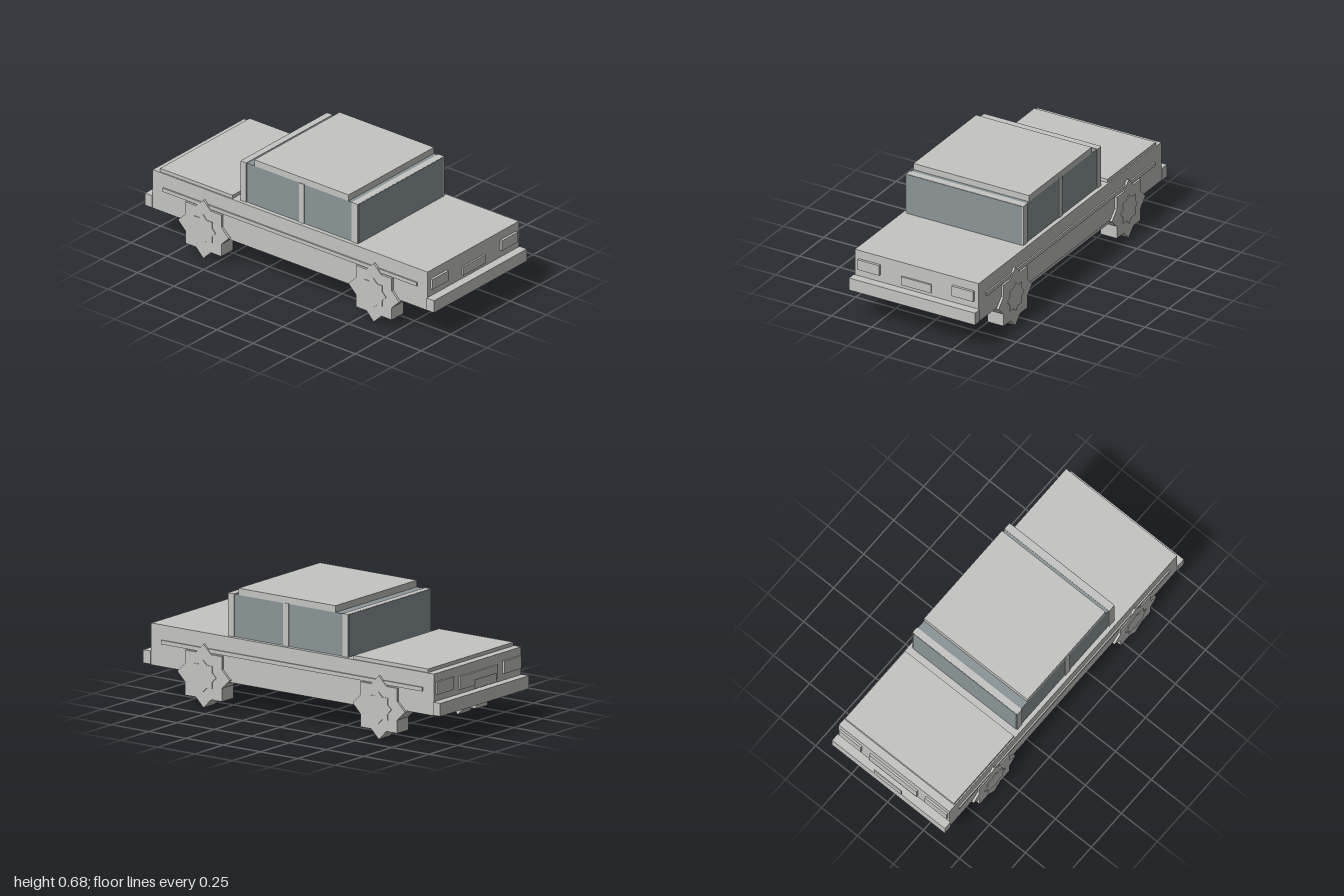
import * as THREE from 'three';

const paint = new THREE.MeshStandardMaterial({ color: 0xc4c4c2 });
paint.name = 'light grey paint';
const glass = new THREE.MeshStandardMaterial({ color: 0x8b9597 });
glass.name = 'window glass';

export function createModel() {
  const car = new THREE.Group();
  car.name = 'car';

  // Box given by its lower and upper limits on each axis
  function box(name, [x0, x1], [y0, y1], [z0, z1], material = paint) {
    const mesh = new THREE.Mesh(new THREE.BoxGeometry(x1 - x0, y1 - y0, z1 - z0), material);
    mesh.position.set((x0 + x1) / 2, (y0 + y1) / 2, (z0 + z1) / 2);
    mesh.name = name;
    car.add(mesh);
  }
  // The same box on both sides of the car
  function pair(name, [x0, x1], y, z, material = paint) {
    box(name + 'Left', [x0, x1], y, z, material);
    box(name + 'Right', [-x1, -x0], y, z, material);
  }

  // Lower body
  box('body', [-0.385, 0.385], [0.18, 0.41], [-0.945, 0.95]);
  box('floor', [-0.38, 0.38], [0.16, 0.18], [-0.48, 0.48]);
  box('bootLid', [-0.378, 0.378], [0.41, 0.43], [-0.9, -0.4]);
  pair('sideTrim', [0.385, 0.393], [0.305, 0.327], [-0.87, 0.88]);

  // Bumpers, lamps and plates
  box('frontBumper', [-0.392, 0.392], [0.185, 0.257], [0.95, 1]);
  box('rearBumper', [-0.392, 0.392], [0.185, 0.257], [-0.992, -0.945]);
  pair('headlight', [0.225, 0.36], [0.3, 0.36], [0.95, 0.965]);
  box('frontPlate', [-0.093, 0.093], [0.278, 0.328], [0.95, 0.96]);
  pair('tailLight', [0.222, 0.373], [0.295, 0.365], [-0.957, -0.945]);
  box('rearPanel', [-0.165, 0.165], [0.282, 0.355], [-0.957, -0.945]);
  box('rearPlate', [-0.095, 0.095], [0.28, 0.33], [-1, -0.994]);

  // Cabin: glass block between two upright frames, with pillars and roof
  box('sideWindows', [-0.36, 0.36], [0.41, 0.643], [-0.32, 0.42], glass);
  box('frontFrame', [-0.365, 0.365], [0.41, 0.646], [0.41, 0.452]);
  box('rearFrame', [-0.365, 0.365], [0.41, 0.646], [-0.355, -0.317]);
  box('windscreen', [-0.357, 0.357], [0.411, 0.645], [0.452, 0.455], glass);
  box('rearWindow', [-0.357, 0.357], [0.411, 0.645], [-0.358, -0.355], glass);
  pair('middlePillar', [0.355, 0.365], [0.41, 0.645], [0.046, 0.082]);
  box('roof', [-0.36, 0.36], [0.643, 0.68], [-0.265, 0.385]);

  // Eight-pointed star, extruded along x and centred
  function star(radius, width) {
    const shape = new THREE.Shape();
    for (let i = 0; i < 16; i++) {
      const r = i % 2 ? radius * 0.765 : radius;
      const a = (i * Math.PI) / 8;
      shape[i ? 'lineTo' : 'moveTo'](r * Math.cos(a), r * Math.sin(a));
    }
    const geometry = new THREE.ExtrudeGeometry(shape, { depth: width, bevelEnabled: false });
    return geometry.translate(0, 0, -width / 2).rotateY(Math.PI / 2);
  }
  const tyre = star(0.175, 0.1);
  const hub = star(0.087, 0.005);
  for (const side of [-1, 1]) {
    for (const z of [-0.585, 0.59]) {
      const wheel = new THREE.Group();
      wheel.name = (z > 0 ? 'front' : 'rear') + 'Wheel' + (side > 0 ? 'Left' : 'Right');
      const tyreMesh = new THREE.Mesh(tyre, paint);
      tyreMesh.name = 'tyre';
      const hubMesh = new THREE.Mesh(hub, paint);
      hubMesh.name = 'hubcap';
      hubMesh.position.x = side * 0.0515;
      wheel.add(tyreMesh, hubMesh);
      wheel.position.set(side * 0.348, 0.175, z);
      car.add(wheel);
    }
  }
  return car;
}
